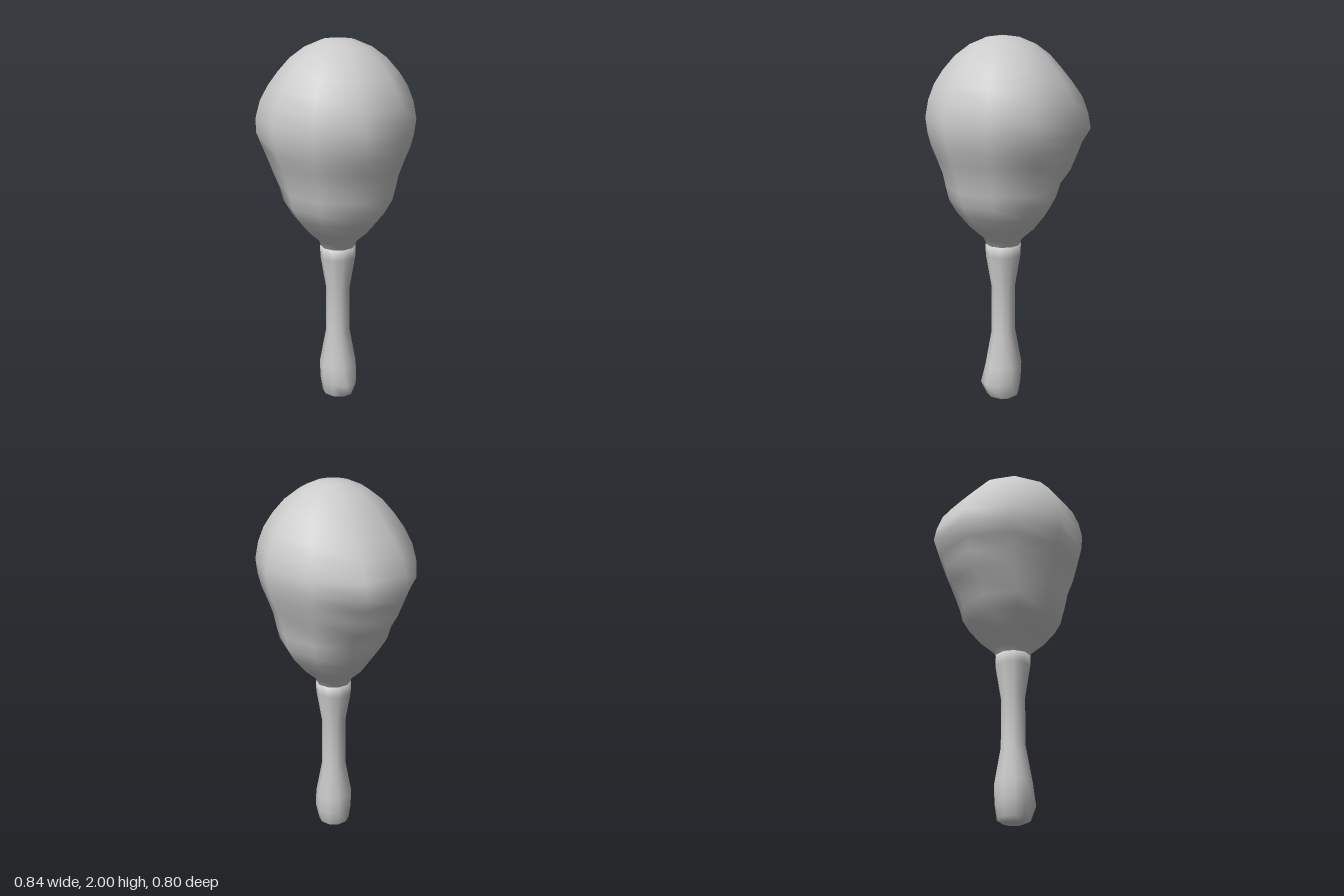
import * as THREE from 'three';
import { mergeVertices } from 'three/addons/utils/BufferGeometryUtils.js';

const SIDES = 10;
const CENTRE_X = 0.038;

// Ten-sided turned body; profile rows are [radius, y, dent], and each row's
// dent is pushed along x with the weight given for that side.
function turned(name, rows, weight, material) {
  const points = rows.map(([r, y]) => new THREE.Vector2(r, y));
  let geo = new THREE.LatheGeometry(points, SIDES);
  const pos = geo.attributes.position;
  for (let i = 0; i < pos.count; i++) {
    const [r, , dent = 0] = rows[i % rows.length];
    const side = Math.floor(i / rows.length) % SIDES;
    pos.setX(i, pos.getX(i) + (r > 0 ? dent * (weight[side] ?? 0) : 0));
  }
  // Weld the seam so the shading runs smoothly all round
  geo.deleteAttribute('uv');
  geo.deleteAttribute('normal');
  geo = mergeVertices(geo, 1e-5);
  geo.computeVertexNormals();
  const mesh = new THREE.Mesh(geo, material);
  mesh.name = name;
  mesh.position.x = CENTRE_X;
  return mesh;
}

export function createModel() {
  const group = new THREE.Group();
  group.name = 'shaker';
  const material = new THREE.MeshStandardMaterial({ color: 0xcccccc });

  // Egg-shaped head, with a lump on its right side
  const head = [
    [0, 0.83], [0.05, 0.84], [0.085, 0.88], [0.105, 0.935], [0.18, 1.0],
    [0.247, 1.08, 0.01], [0.287, 1.15, 0], [0.304, 1.22, -0.005],
    [0.318, 1.29, -0.05], [0.347, 1.37, -0.055], [0.375, 1.44, -0.055],
    [0.393, 1.51, -0.085], [0.402, 1.59, -0.058], [0.385, 1.68, -0.04],
    [0.353, 1.76, -0.012], [0.307, 1.83], [0.245, 1.9], [0.17, 1.955],
    [0.085, 1.99], [0, 2.0],
  ];
  group.add(turned('head', head, { 6: 0.35, 7: 1, 8: 1, 9: 0.7 }, material));

  // Waisted handle, with a lump on the left of its butt
  const handle = [
    [0, 0], [0.055, 0.005], [0.085, 0.025, 0.01], [0.097, 0.105, 0.033],
    [0.101, 0.205, 0], [0.066, 0.4], [0.065, 0.66], [0.095, 0.84],
    [0.096, 0.9], [0, 0.91],
  ];
  group.add(turned('handle', handle, { 1: 0.4, 2: 1, 3: 1, 4: 0.4 }, material));

  return group;
}
